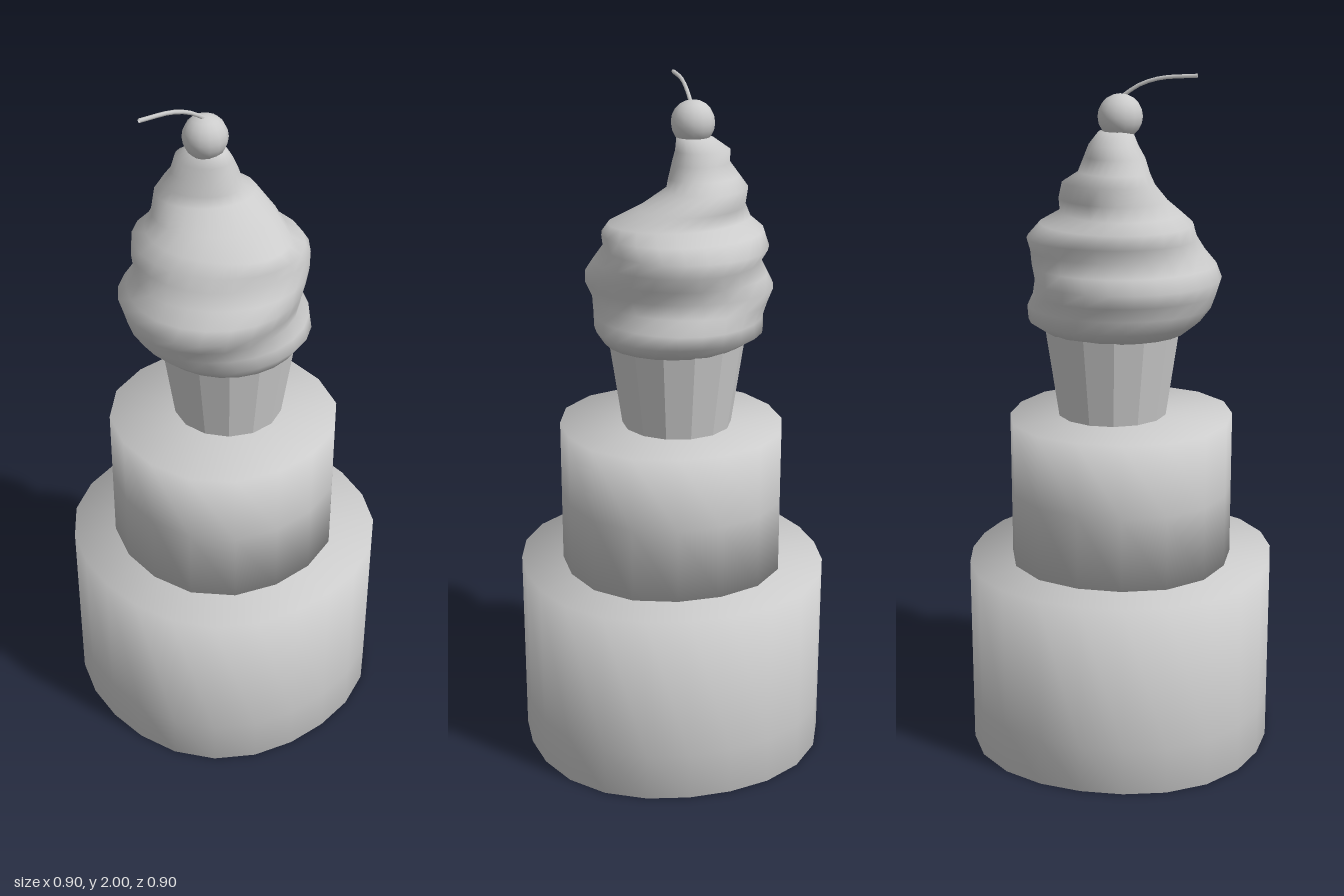
import * as THREE from 'three';

const material = new THREE.MeshStandardMaterial({ color: 0xcccccc, side: THREE.DoubleSide });
const flatMaterial = new THREE.MeshStandardMaterial({ color: 0xcccccc, flatShading: true });

function addMesh(group, name, geometry, mat = material) {
  const mesh = new THREE.Mesh(geometry, mat);
  mesh.name = name;
  group.add(mesh);
  return mesh;
}

// Softly shaded tier from [radius, height] pairs, swelling slightly on its diagonals
function tier(profile, sides, phase, bulge) {
  const geometry = new THREE.LatheGeometry(
    profile.map(([r, y]) => new THREE.Vector2(r, y)), sides, phase);
  const p = geometry.attributes.position;
  for (let i = 0; i < p.count; i++) {
    const s = 1 + bulge * Math.sin(2 * Math.atan2(p.getX(i), p.getZ(i))) ** 2;
    p.setX(i, p.getX(i) * s);
    p.setZ(i, p.getZ(i) * s);
  }
  return geometry;
}

// Skin over oval rings given as [y, xMin, xMax, zMin, zMax, skew], closed at both ends;
// skew stretches a ring towards its back-left and front-right diagonal
function swirl(rings, sides) {
  const positions = [], index = [];
  const center = ([y, x0, x1, z0, z1]) => [(x0 + x1) / 2, y, (z0 + z1) / 2];
  for (const ring of rings) {
    const [cx, y, cz] = center(ring);
    const rx = (ring[2] - ring[1]) / 2, rz = (ring[4] - ring[3]) / 2;
    const ridge = 0.02 * Math.cos((y - 1.42) / 0.13 * Math.PI * 2);
    for (let i = 0; i < sides; i++) {
      const a = (i / sides) * Math.PI * 2, diagonal = Math.sin(2 * a);
      const s = 1 + ridge * diagonal ** 2 - ring[5] * diagonal;
      positions.push(cx + rx * s * Math.sin(a), y, cz + rz * s * Math.cos(a));
    }
  }
  const bottom = rings.length * sides, top = bottom + 1, last = (rings.length - 1) * sides;
  positions.push(...center(rings[0]), ...center(rings[rings.length - 1]));
  for (let i = 0; i < sides; i++) {
    const j = (i + 1) % sides;
    for (let k = 0; k < last; k += sides) {
      index.push(k + i, k + j, k + sides + j, k + i, k + sides + j, k + sides + i);
    }
    index.push(bottom, j, i, top, last + i, last + j);
  }
  const geometry = new THREE.BufferGeometry();
  geometry.setAttribute('position', new THREE.Float32BufferAttribute(positions, 3));
  geometry.setIndex(index);
  geometry.computeVertexNormals();
  return geometry;
}

export function createModel() {
  const model = new THREE.Group();
  model.name = 'iceCreamCake';

  // Cake tiers; the lower one is hollow underneath
  addMesh(model, 'lowerTier', tier(
    [[0, 0.54], [0.42, 0.54], [0.42, 0], [0.452, 0], [0.452, 0.14],
      [0.452, 0.572], [0, 0.572]], 23, 0, 0.038));
  addMesh(model, 'upperTier', tier(
    [[0, 0.568], [0.327, 0.568], [0.327, 0.79], [0.327, 1.006], [0, 1.006]],
    16, Math.PI / 16, 0.038));

  // Faceted wafer cone
  const cone = addMesh(model, 'waferCone',
    new THREE.CylinderGeometry(0.2, 0.16, 0.27, 14), flatMaterial);
  cone.position.set(-0.01, 1.147, -0.025);

  // Soft-serve swirl, its ridges offset around the sides
  addMesh(model, 'softServe', swirl([
    [1.262, -0.20, 0.20, -0.22, 0.19, 0],
    [1.30, -0.26, 0.225, -0.265, 0.235, 0],
    [1.34, -0.265, 0.225, -0.27, 0.265, 0],
    [1.38, -0.28, 0.22, -0.245, 0.28, -0.03],
    [1.42, -0.295, 0.235, -0.235, 0.29, -0.04],
    [1.46, -0.275, 0.24, -0.25, 0.275, -0.03],
    [1.50, -0.255, 0.225, -0.26, 0.245, 0],
    [1.54, -0.275, 0.20, -0.265, 0.225, 0.02],
    [1.58, -0.27, 0.205, -0.23, 0.215, 0.05],
    [1.61, -0.235, 0.185, -0.175, 0.18, 0.08],
    [1.65, -0.215, 0.10, -0.17, 0.145, 0.1],
    [1.70, -0.22, 0.02, -0.15, 0.115, 0.1],
    [1.73, -0.20, 0.01, -0.105, 0.1, 0.1],
    [1.77, -0.17, 0.0, -0.09, 0.085, 0.08],
    [1.805, -0.17, -0.01, -0.075, 0.065, 0.05],
    [1.84, -0.12, -0.015, -0.05, 0.045, 0],
  ], 24));

  // Cherry with a curved stem
  const cherry = addMesh(model, 'cherry', new THREE.SphereGeometry(0.063, 14, 10));
  cherry.position.set(-0.065, 1.88, 0.01);
  const stemPath = new THREE.CatmullRomCurve3([
    new THREE.Vector3(-0.06, 1.935, 0.015),
    new THREE.Vector3(-0.06, 1.965, 0.06),
    new THREE.Vector3(-0.062, 1.985, 0.12),
    new THREE.Vector3(-0.065, 1.993, 0.225),
  ]);
  addMesh(model, 'cherryStem', new THREE.TubeGeometry(stemPath, 8, 0.006, 6));

  return model;
}
